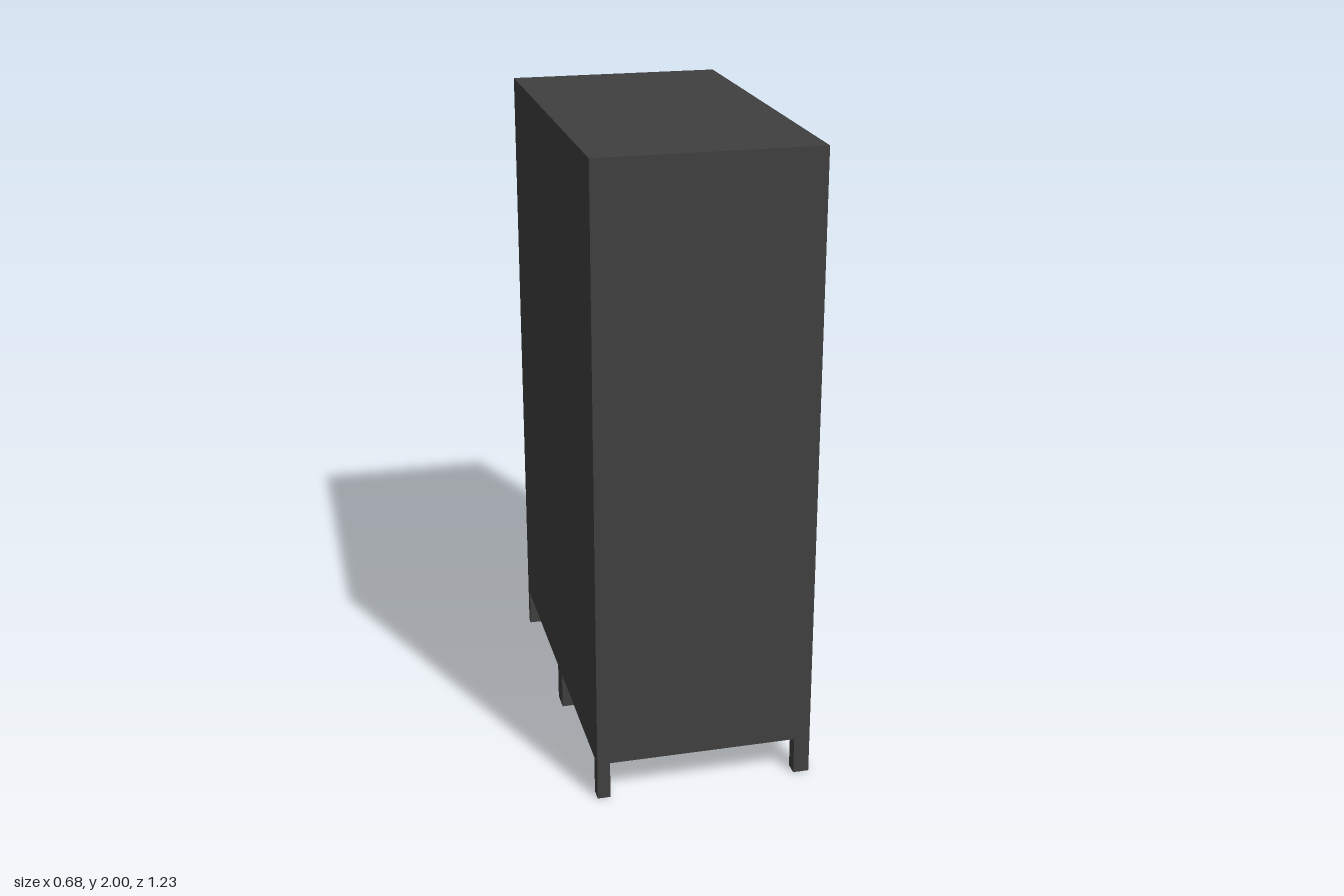
import * as THREE from 'three';

const WIDTH = 0.68, HALF_Z = 0.613, BASE = 0.12, TOP = 2, BACK = 0.03;
const rows = [[0.16, 0.705], [0.73, 1.30], [1.34, 1.96]];
const columns = [[-0.575, -0.02], [0.01, 0.585]]; // measured along -z
const legsZ = [[0.57, HALF_Z], [-0.03, 0.04], [-HALF_Z, -0.585]];
const legsX = [[-0.34, -0.30], [0.29, 0.34]];

function rectangle(target, [x0, x1], [y0, y1]) {
  target.moveTo(x0, y0);
  target.lineTo(x1, y0);
  target.lineTo(x1, y1);
  target.lineTo(x0, y1);
  target.closePath();
  return target;
}

export function createModel() {
  const group = new THREE.Group();
  group.name = 'cubbyShelf';
  const material = new THREE.MeshStandardMaterial({ color: 0x404040 });

  function box(name, [x0, x1], [y0, y1], [z0, z1]) {
    const mesh = new THREE.Mesh(new THREE.BoxGeometry(x1 - x0, y1 - y0, z1 - z0), material);
    mesh.position.set((x0 + x1) / 2, (y0 + y1) / 2, (z0 + z1) / 2);
    mesh.name = name;
    group.add(mesh);
  }

  // Case with six compartments opening towards +x
  const outline = rectangle(new THREE.Shape(), [-HALF_Z, HALF_Z], [BASE, TOP]);
  for (const column of columns) {
    for (const row of rows) outline.holes.push(rectangle(new THREE.Path(), column, row));
  }
  const caseGeometry = new THREE.ExtrudeGeometry(outline, { depth: WIDTH - BACK, bevelEnabled: false });
  caseGeometry.rotateY(Math.PI / 2);
  caseGeometry.translate(-WIDTH / 2 + BACK, 0, 0);
  const shelfCase = new THREE.Mesh(caseGeometry, material);
  shelfCase.name = 'shelfCase';
  group.add(shelfCase);

  // Panel closing the compartments
  box('backPanel', [-WIDTH / 2, -WIDTH / 2 + BACK], [BASE, TOP], [-HALF_Z, HALF_Z]);

  // Short square legs, three along each long side
  for (const x of legsX) {
    for (const z of legsZ) box('leg', x, [0, BASE], z);
  }

  return group;
}
